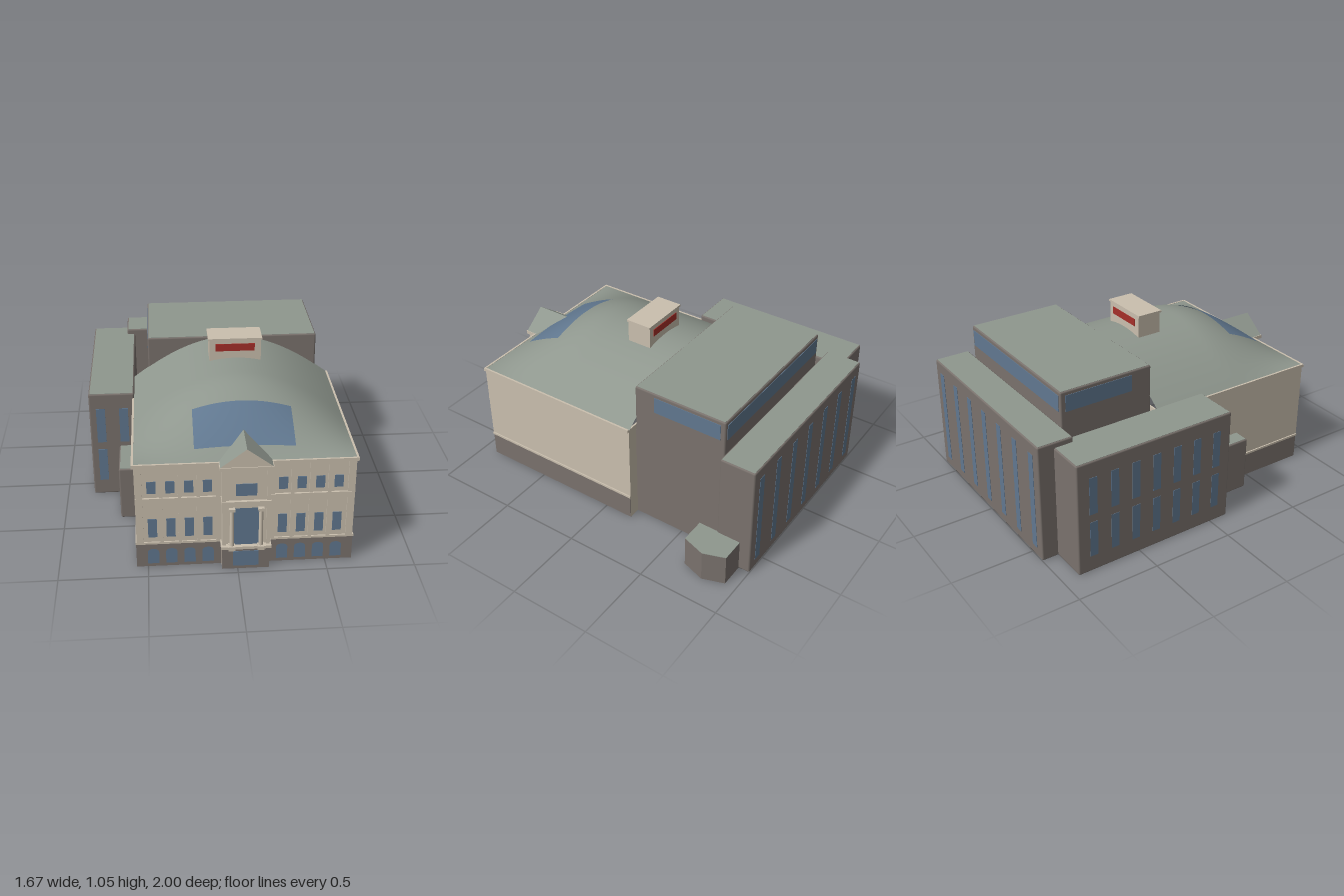
import * as THREE from 'three';
import { RoundedBoxGeometry } from 'three/addons/geometries/RoundedBoxGeometry.js';

const material = (name, color) => Object.assign(new THREE.MeshStandardMaterial({ color }), { name });

export function createModel() {
  const model = new THREE.Group();
  model.name = 'concertHall';
  const cream = material('cream stone', 0xcabfae);
  const brown = material('brown stone', 0x7a726d);
  const roof = material('grey green roof', 0x8f978e);
  const glass = material('blue glass', 0x617890);
  const red = material('red sign', 0xa62f29);
  const domeRoof = roof.clone();
  domeRoof.side = THREE.DoubleSide;

  const add = (name, geometry, mat, parent = model) => {
    const mesh = new THREE.Mesh(geometry, mat);
    mesh.name = name;
    parent.add(mesh);
    return mesh;
  };
  // Box given by its limits on each axis
  const box = (name, mat, x0, x1, y0, y1, z0, z1, parent) => {
    const mesh = add(name, new THREE.BoxGeometry(x1 - x0, y1 - y0, z1 - z0), mat, parent);
    mesh.position.set((x0 + x1) / 2, (y0 + y1) / 2, (z0 + z1) / 2);
    return mesh;
  };
  // Brown block with softened edges and an inset flat roof
  const block = (name, x0, x1, y0, y1, z0, z1) => {
    const mesh = add(name, new RoundedBoxGeometry(x1 - x0, y1 - y0, z1 - z0, 1, 0.01), brown);
    mesh.position.set((x0 + x1) / 2, (y0 + y1) / 2, (z0 + z1) / 2);
    box(name + 'Roof', roof, x0 + 0.008, x1 - 0.008, y1 - 0.004, y1 + 0.001, z0 + 0.008, z1 - 0.008);
  };

  const cx = 0.045, hw = 0.605, front = 0.9, back = -0.18;
  const L = cx - hw, R = cx + hw;

  // Main hall: four walls, open underneath
  box('frontWall', cream, L, R, 0, 0.66, front - 0.01, front);
  box('rearWall', cream, L, R, 0, 0.66, back, back + 0.01);
  for (const [name, x] of [['rightWall', L], ['leftWall', R - 0.01]])
    box(name, cream, x, x + 0.01, 0, 0.66, back, front);

  // Brown base, string course and cornice around the hall
  const surround = (name, mat, out, y0, y1) => {
    box(name + 'Front', mat, L - out, R + out, y0, y1, front, front + out);
    box(name + 'Right', mat, L - out, L, y0, y1, back, front);
    box(name + 'Left', mat, R, R + out, y0, y1, back, front);
  };
  surround('base', brown, 0.004, 0, 0.15);
  surround('stringCourse', cream, 0.008, 0.15, 0.163);
  surround('cornice', cream, 0.012, 0.645, 0.665);

  // Curved roof and its large skylight
  const domeHeight = (x, z) => {
    const u = Math.min(1, Math.abs(x - cx) / hw);
    const t = THREE.MathUtils.clamp((z - 0.35) / 0.55, 0, 1);
    const across = 0.5 * (1 - u * u) + 0.5 * Math.cos(u * Math.PI / 2);
    return 0.663 + 0.262 * across * Math.cos(t * Math.PI / 2);
  };
  const domePatch = (name, mat, x0, x1, z0, z1, lift) => {
    const g = new THREE.PlaneGeometry(x1 - x0, z1 - z0, 32, 40).rotateX(-Math.PI / 2);
    g.translate((x0 + x1) / 2, 0, (z0 + z1) / 2);
    const p = g.attributes.position;
    for (let i = 0; i < p.count; i++) p.setY(i, domeHeight(p.getX(i), p.getZ(i)) + lift);
    g.computeVertexNormals();
    return add(name, g, mat);
  };
  domePatch('domedRoof', domeRoof, L, R, back - 0.005, front, 0);
  const skyGlass = glass.clone();
  skyGlass.side = THREE.DoubleSide;
  domePatch('skylight', skyGlass, -0.23, 0.325, 0.59, 0.83, 0.004);

  // Facade bays, mirrored about the middle
  const archShape = new THREE.Shape();
  archShape.moveTo(-0.032, 0.02);
  archShape.lineTo(0.032, 0.02);
  archShape.lineTo(0.032, 0.095);
  archShape.quadraticCurveTo(0.03, 0.117, 0, 0.118);
  archShape.quadraticCurveTo(-0.03, 0.117, -0.032, 0.095);
  const archGeometry = new THREE.ShapeGeometry(archShape);
  for (const s of [-1, 1]) {
    const side = new THREE.Group();
    side.name = s < 0 ? 'rightBays' : 'leftBays';
    model.add(side);
    const strip = (name, mat, a, b, y0, y1, d) =>
      box(name, mat, Math.min(cx + s * a, cx + s * b), Math.max(cx + s * a, cx + s * b), y0, y1, front, front + d, side);
    for (let i = 0; i < 4; i++) {
      const o = 0.208 + i * 0.102;
      strip('upperWindow', glass, o - 0.025, o + 0.025, 0.48, 0.555, 0.004);
      strip('lowerWindow', glass, o - 0.025, o + 0.025, 0.195, 0.315, 0.004);
      add('baseWindow', archGeometry, glass, side).position.set(cx + s * o, 0, front + 0.006);
      if (i < 3) strip('pilaster', cream, o + 0.042, o + 0.06, 0.16, 0.65, 0.01);
    }
    strip('innerPilaster', cream, 0.13, 0.162, 0.16, 0.65, 0.01);
    strip('cornerPilaster', cream, 0.565, 0.605, 0.16, 0.65, 0.01);
    strip('middleBand', cream, 0.13, 0.605, 0.415, 0.452, 0.012);
  }

  // Projecting entrance bay
  const bay = 0.955, eL = cx - 0.132, eR = cx + 0.132;
  box('entranceBay', cream, eL, eR, 0, 0.66, front, bay);
  box('entranceBase', brown, eL, eR, 0, 0.15, bay, bay + 0.004);
  box('entranceBaseWindow', glass, -0.027, 0.116, 0.02, 0.118, bay, bay + 0.007);
  box('entranceDoor', glass, -0.027, 0.116, 0.163, 0.41, bay, bay + 0.006);
  box('entranceUpperWindow', glass, -0.013, 0.103, 0.48, 0.555, bay, bay + 0.004);
  box('entranceStep', cream, cx - 0.14, cx + 0.14, 0.147, 0.164, front, 0.985);
  box('entranceLintel', cream, cx - 0.135, cx + 0.135, 0.41, 0.45, front, 0.972);
  box('entranceCornice', cream, cx - 0.147, cx + 0.147, 0.645, 0.667, front, 0.975);
  for (const s of [-1, 1]) {
    const pilaster = cx + s * 0.122;
    box('entrancePilaster', cream, pilaster - 0.01, pilaster + 0.01, 0.16, 0.65, bay, bay + 0.01);
    const x = cx + s * 0.08;
    add('entranceColumn', new THREE.CylinderGeometry(0.011, 0.013, 0.24, 16), cream).position.set(x, 0.285, 0.977);
    box('columnPlinth', cream, x - 0.019, x + 0.019, 0.147, 0.172, 0.955, 1);
    box('columnCapital', cream, x - 0.017, x + 0.017, 0.398, 0.415, 0.957, 0.993);
  }

  // Pediment with cream face and sloping roof running back into the dome
  const gable = new THREE.Shape([
    new THREE.Vector2(cx - 0.147, 0.664), new THREE.Vector2(cx + 0.147, 0.664), new THREE.Vector2(cx, 0.775)]);
  const gableGeometry = new THREE.ExtrudeGeometry(gable, { depth: 0.24, bevelEnabled: false });
  add('pediment', gableGeometry, [cream, roof]).position.z = 0.73;

  // Rooftop sign box
  box('signBox', cream, -0.105, 0.2, 0.88, 1.04, -0.012, 0.142);
  box('signBoxCap', cream, -0.113, 0.207, 1.038, 1.05, -0.016, 0.148);
  box('frontSign', red, -0.07, 0.163, 0.97, 1.015, 0.142, 0.146);
  box('rearSign', red, -0.07, 0.163, 0.97, 1.015, -0.016, -0.012);

  // Stage tower: closed top on walls that are open underneath
  const tL = -0.47, tR = 0.58, tB = -0.77;
  block('stageTowerTop', tL, tR, 0.6, 0.924, tB, back + 0.002);
  box('stageTowerRightWall', brown, tL, tL + 0.01, 0, 0.62, tB, back);
  box('stageTowerLeftWall', brown, tR - 0.01, tR, 0, 0.62, tB, back);
  box('stageTowerRearWall', brown, tL, tR, 0, 0.62, tB, tB + 0.01);
  box('towerRearWindow', glass, tL + 0.02, tR - 0.02, 0.8, 0.9, tB - 0.003, tB);
  box('towerRightWindow', glass, tL - 0.003, tL, 0.8, 0.9, -0.74, -0.31);
  box('towerLeftWindow', glass, tR, tR + 0.003, 0.8, 0.9, -0.74, -0.31);

  // Rear block with tall slit windows
  block('rearBlock', -0.612, 0.647, 0, 0.73, -1, -0.78);
  for (let i = 0; i < 7; i++) {
    const x = 0.565 - i * 0.183;
    box('rearSlitWindow', glass, x - 0.024, x + 0.024, 0.06, 0.66, -1.002, -0.999);
  }

  // Side wing with two rows of windows, and the low annex in front of it
  block('sideWing', -0.835, -0.56, 0, 0.697, -0.9, 0.12);
  block('sideAnnex', -0.663, -0.56, 0, 0.34, 0.11, 0.405);
  for (const [y0, y1] of [[0.1, 0.32], [0.37, 0.6]]) {
    for (let i = 0; i < 7; i++) {
      const z = -0.8 + i * 0.137;
      box('wingSideWindow', glass, -0.837, -0.834, y0, y1, z - 0.025, z + 0.025);
    }
    for (const x of [-0.767, -0.628])
      box('wingFrontWindow', glass, x - 0.027, x + 0.027, y0, y1, 0.119, 0.123);
  }

  // Small five-sided pavilion
  const plan = new THREE.Shape([[0.64, 0.66], [0.79, 0.66], [0.835, 0.8], [0.79, 0.93], [0.64, 0.93]]
    .map(([x, y]) => new THREE.Vector2(x, y)));
  const prism = (depth) => new THREE.ExtrudeGeometry(plan, { depth, bevelEnabled: false }).rotateX(-Math.PI / 2);
  add('pavilion', prism(0.197), brown);
  add('pavilionRoof', prism(0.003), roof).position.y = 0.197;

  return model;
}
